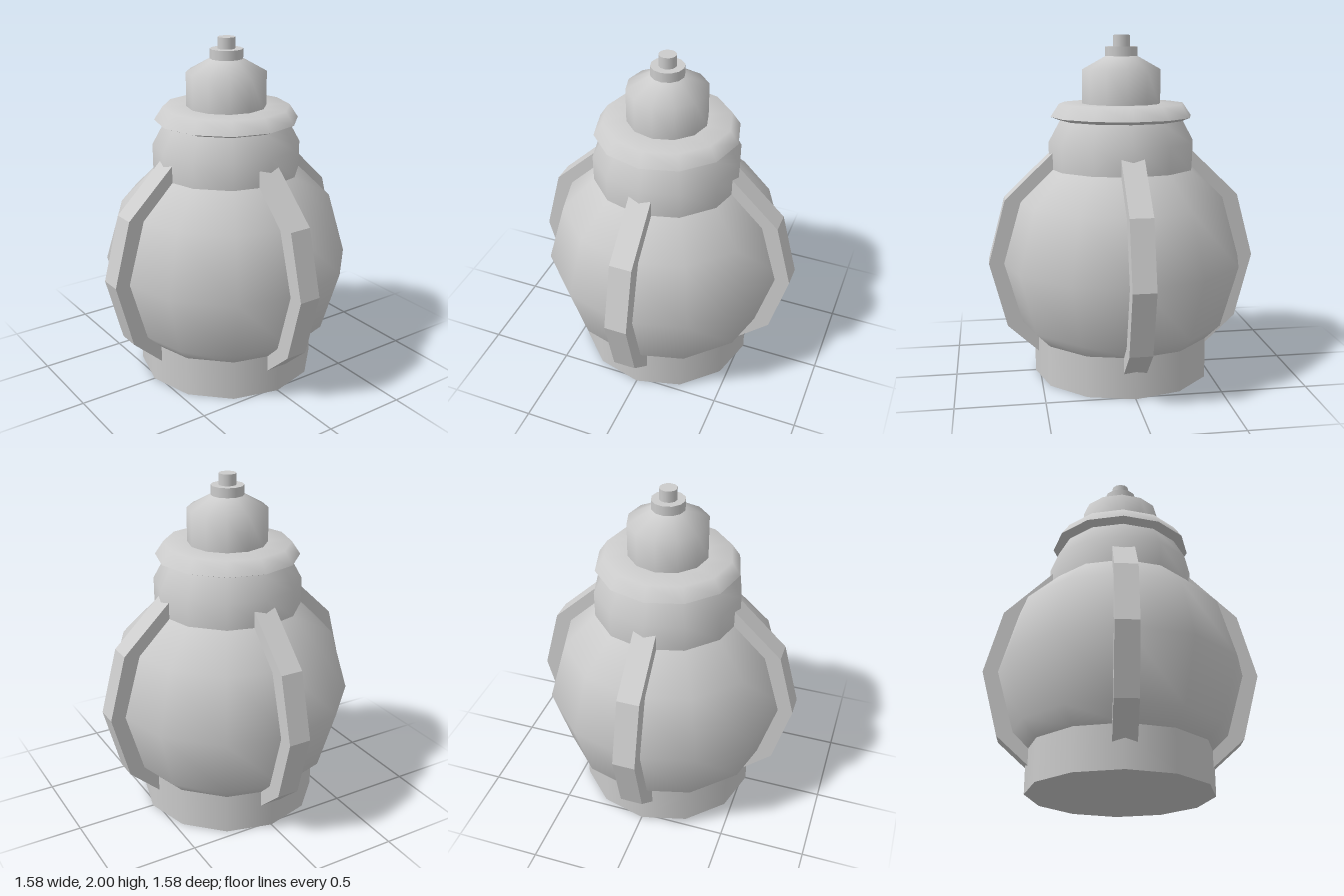
import * as THREE from 'three';

const SIDES = 12;
const material = new THREE.MeshStandardMaterial({ color: 0xcccccc });

// Turned part from [radius, height] points, listed from bottom to top
function turned(name, points) {
  const profile = points.map(([r, y]) => new THREE.Vector2(r, y));
  const mesh = new THREE.Mesh(new THREE.LatheGeometry(profile, SIDES), material);
  mesh.name = name;
  return mesh;
}

// Closed cylinder standing between two heights
function drum(name, radius, bottom, top) {
  const geometry = new THREE.CylinderGeometry(radius, radius, top - bottom, SIDES);
  geometry.translate(0, (bottom + top) / 2, 0);
  const mesh = new THREE.Mesh(geometry, material);
  mesh.name = name;
  return mesh;
}

export function createModel() {
  const model = new THREE.Group();
  model.name = 'ribbedVessel';

  // Foot and round belly
  model.add(drum('base', 0.527, 0, 0.24));
  model.add(turned('body', [[0.527, 0.24], [0.617, 0.33], [0.72, 0.69], [0.617, 1.05], [0.427, 1.237]]));

  // Neck and flared flange
  model.add(turned('neck', [[0.427, 1.237], [0.428, 1.39], [0.36, 1.515]]));
  model.add(turned('flangeUnderside', [[0.36, 1.515], [0.415, 1.535]]));
  model.add(turned('flange', [[0.415, 1.535], [0.365, 1.61], [0.2, 1.61]]));

  // Domed cap with collar and knob
  model.add(turned('cap', [[0.23, 1.61], [0.23, 1.805], [0.095, 1.88]]));
  model.add(drum('collar', 0.095, 1.87, 1.935));
  model.add(drum('knob', 0.05, 1.93, 2));

  // Four ribs hugging the belly, their ends sunk into neck and base
  const width = 0.13;
  const outline = [
    [0.36, 1.381], [0.69, 1.065], [0.79, 0.69], [0.69, 0.31], [0.45, 0.09],
    [0.45, 0.22], [0.58, 0.345], [0.68, 0.69], [0.58, 1.035], [0.36, 1.25],
  ].map(([x, y]) => new THREE.Vector2(x, y));
  const ribGeometry = new THREE.ExtrudeGeometry(new THREE.Shape(outline), { depth: width, bevelEnabled: false });
  ribGeometry.translate(0, 0, -width / 2);
  ['leftRib', 'backRib', 'rightRib', 'frontRib'].forEach((name, i) => {
    const rib = new THREE.Mesh(ribGeometry, material);
    rib.name = name;
    rib.rotation.y = (i * Math.PI) / 2;
    model.add(rib);
  });

  return model;
}
